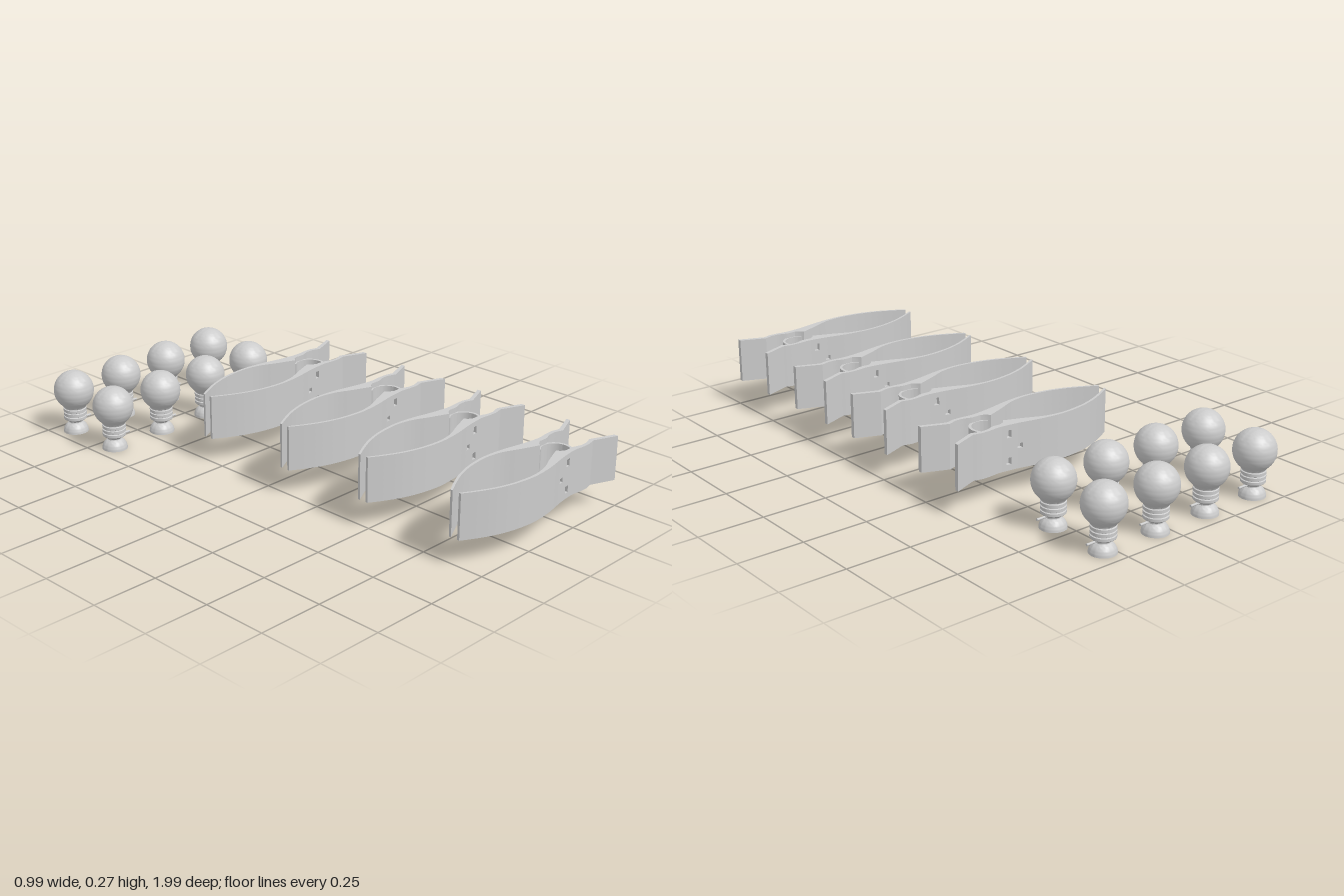
import * as THREE from 'three';
import { toCreasedNormals } from 'three/addons/utils/BufferGeometryUtils.js';

const material = new THREE.MeshStandardMaterial({ color: 0xcccccc });
const spline = (pts, n) =>
  new THREE.SplineCurve(pts.map(([x, d]) => new THREE.Vector2(x, d))).getPoints(n).map((p) => [p.x, p.y]);

function mesh(geometry, name) {
  const m = new THREE.Mesh(geometry, material);
  m.name = name;
  return m;
}

// extrude an (x, z) outline upwards from y0 to y1
function slab(points, y0, y1) {
  const shape = new THREE.Shape(points.map(([x, z]) => new THREE.Vector2(x, -z)));
  const geo = new THREE.ExtrudeGeometry(shape, { depth: y1 - y0, bevelEnabled: false });
  geo.rotateX(-Math.PI / 2).translate(0, y0, 0);
  return toCreasedNormals(geo, 0.5);
}

// outer face of an arm: x and distance from the clip's middle plane
const outer = [
  ...spline([[-0.257, 0.022], [-0.204, 0.052], [-0.14, 0.081], [-0.066, 0.102], [0.02, 0.112],
    [0.11, 0.105], [0.2, 0.087], [0.245, 0.08], [0.29, 0.076], [0.33, 0.08], [0.365, 0.081]], 50),
  [0.4, 0.073], [0.495, 0.111],
];
// inner face with the thick pivot wedge and the bent handle
const inner = [
  ...spline([[-0.257, 0.013], [-0.204, 0.042], [-0.14, 0.071], [-0.066, 0.092], [0.02, 0.101],
    [0.08, 0.094], [0.115, 0.083], [0.16, 0.063], [0.237, 0.033]], 36),
  [0.247, 0.046], [0.265, 0.056],
  ...spline([[0.285, 0.055], [0.305, 0.056], [0.335, 0.066], [0.365, 0.067]], 10),
  [0.4, 0.056], [0.495, 0.095],
];

function outerAt(x) {
  const i = outer.findIndex((p) => p[0] > x);
  const [a, b] = [outer[i - 1], outer[i]];
  return a[1] + ((b[1] - a[1]) * (x - a[0])) / (b[0] - a[0]);
}

// arm outline, optionally with a recess [x0, x1] cut into the outer face
function armOutline(recess) {
  let face = outer;
  if (recess) {
    const [x0, x1] = recess, d0 = outerAt(x0), d1 = outerAt(x1);
    face = [...outer.filter((p) => p[0] < x0), [x0, d0], [x0, d0 - 0.015], [x1, d1 - 0.015], [x1, d1],
      ...outer.filter((p) => p[0] > x1)];
  }
  return [...face, ...[...inner].reverse()];
}

// arm layers from bottom to top: y0, y1, recess
const SLOT = [0.238, 0.257], HOLE = [0.193, 0.213];
const layers = [
  [0.1, 0.122, null], [0.122, 0.148, SLOT], [0.148, 0.176, null], [0.176, 0.194, HOLE],
  [0.194, 0.222, null], [0.222, 0.25, SLOT], [0.25, 0.27, null],
];

function armGeometries(side) {
  return layers.map(([y0, y1, recess]) => slab(armOutline(recess).map(([x, d]) => [x, d * side]), y0, y1));
}

// C-shaped spring, open towards the jaws
function springGeometry() {
  const arc = (r) => Array.from({ length: 41 }, (_, i) => {
    const a = THREE.MathUtils.degToRad(-135 + i * 6.75);
    return [0.284 + r * Math.cos(a), r * Math.sin(a)];
  });
  return slab([...arc(0.062), ...arc(0.052).reverse()], 0.122, 0.25);
}

// bulb knob: flared foot, grooved collar and ball, turned in one piece
function knobGeometry() {
  const pts = [[0, 0.012], [0.036, 0.008], [0.042, 0], [0.049, 0]];
  for (let i = 1; i <= 8; i++) {
    const a = (i / 8) * 1.0;
    pts.push([0.049 * Math.cos(a), 0.046 * Math.sin(a)]);
  }
  pts.push([0.026, 0.042], [0.034, 0.05], [0.042, 0.053]);
  // collar ridges
  for (const y of [0.056, 0.072, 0.088]) {
    pts.push([0.045, y], [0.045, y + 0.01], [0.041, y + 0.012], [0.041, y + 0.014]);
  }
  pts.push([0.044, 0.104]);
  for (let i = 0; i <= 28; i++) {
    const a = -0.9 + (i / 28) * (Math.PI / 2 + 0.9);
    pts.push([Math.max(0, 0.078 * Math.cos(a)), 0.173 + 0.078 * Math.sin(a)]);
  }
  const lathe = new THREE.LatheGeometry(pts.map(([r, y]) => new THREE.Vector2(r, y)), 40);
  return toCreasedNormals(lathe, 0.6);
}

export function createModel() {
  const root = new THREE.Group();
  root.name = 'clipAndKnobSet';

  // four spring clips in a row
  const backArm = armGeometries(-1), frontArm = armGeometries(1), spring = springGeometry();
  [-0.316, 0.094, 0.476, 0.884].forEach((z) => {
    const clip = new THREE.Group();
    clip.name = 'clip';
    for (const [name, parts] of [['backArm', backArm], ['frontArm', frontArm]]) {
      const arm = new THREE.Group();
      arm.name = name;
      parts.forEach((g) => arm.add(mesh(g, 'armLayer')));
      clip.add(arm);
    }
    clip.add(mesh(spring, 'spring'));
    clip.position.z = z;
    root.add(clip);
  });

  // two rows of four bulb knobs, each with a small side pin
  const knobGeo = knobGeometry();
  const pinGeo = new THREE.CylinderGeometry(0.0045, 0.0045, 0.055, 12).rotateZ(Math.PI / 2);
  for (const z of [-0.921, -0.677]) {
    for (const x of [-0.421, -0.184, 0.052, 0.289]) {
      const knob = new THREE.Group();
      knob.name = 'knob';
      const pin = mesh(pinGeo, 'sidePin');
      pin.position.set(0.0445, 0.047, 0);
      knob.add(mesh(knobGeo, 'knobBody'), pin);
      knob.position.set(x, 0, z);
      root.add(knob);
    }
  }
  return root;
}
